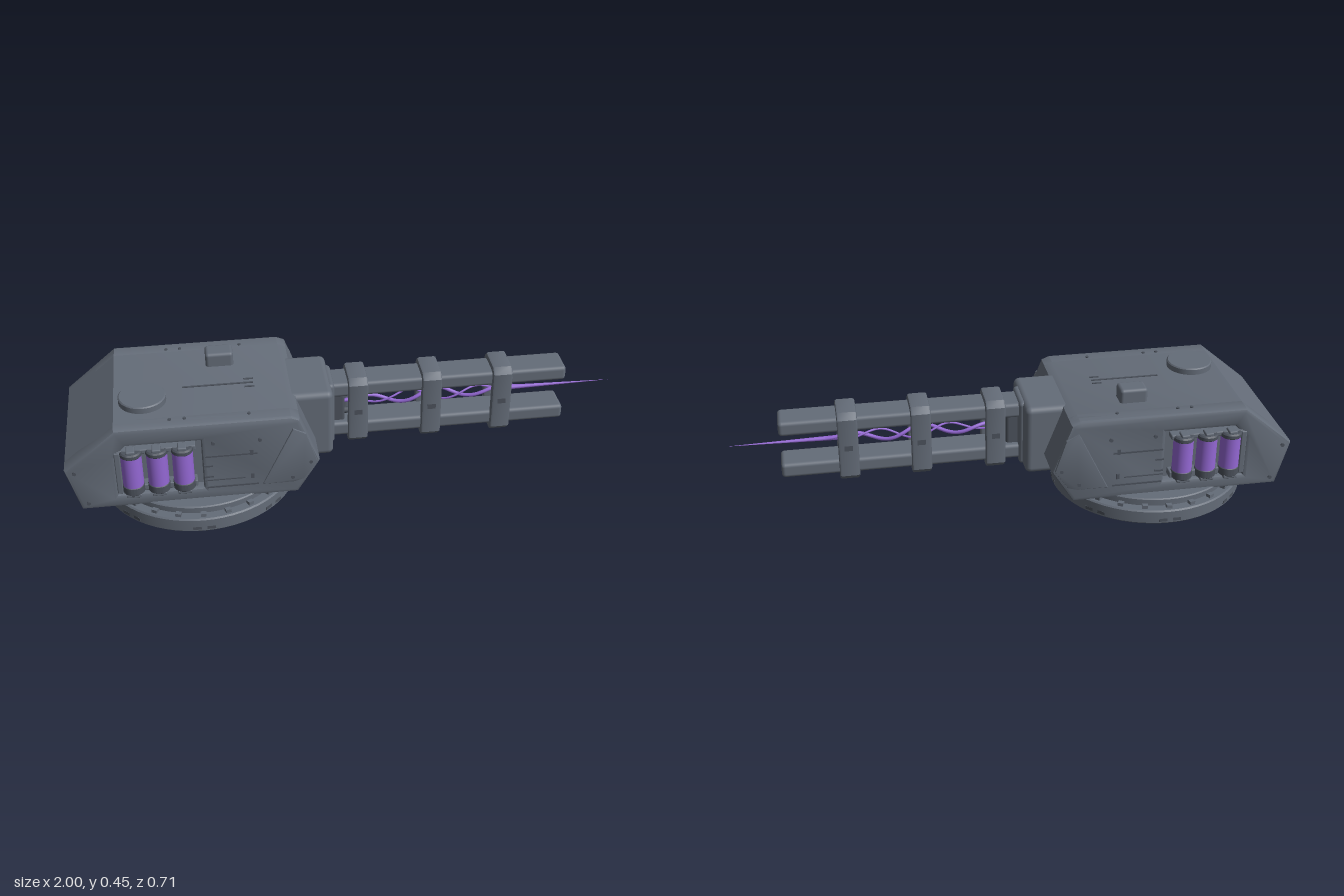
import * as THREE from 'three';
import { RoundedBoxGeometry } from 'three/addons/geometries/RoundedBoxGeometry.js';
import { toCreasedNormals } from 'three/addons/utils/BufferGeometryUtils.js';

const mat = (name, color) => {
  const m = new THREE.MeshStandardMaterial({ color });
  m.name = name;
  return m;
};

export function createModel() {
  const armour = mat('armour grey', 0x646c78);
  const dark = mat('dark grey', 0x4c525c);
  const energy = mat('energy purple', 0x9468d4);
  const root = new THREE.Group();
  root.name = 'turret';

  const add = (name, geo, m, x = 0, y = 0, z = 0, parent = root) => {
    const mesh = new THREE.Mesh(geo, m);
    mesh.name = name;
    mesh.position.set(x, y, z);
    parent.add(mesh);
    return mesh;
  };
  const group = (name) => {
    const g = new THREE.Group();
    g.name = name;
    root.add(g);
    return g;
  };
  const rbox = (w, h, d, r = 0.01) => new RoundedBoxGeometry(w, h, d, 3, r);
  const box = (w, h, d) => new THREE.BoxGeometry(w, h, d);
  const pts = (a) => a.map(([x, y]) => new THREE.Vector2(x, y));
  // Slab of an outline between two depths, bevelled inside its outline
  const slab = (outline, z0, z1, b = 0, hole = null) => {
    const s = new THREE.Shape(pts(outline));
    if (hole) s.holes.push(new THREE.Path(pts(hole)));
    const g = new THREE.ExtrudeGeometry(s, {
      depth: z1 - z0 - 2 * b, bevelEnabled: b > 0, bevelSize: b,
      bevelThickness: b, bevelOffset: -b, bevelSegments: 2, curveSegments: 6,
    });
    g.translate(0, 0, z0 + b);
    return toCreasedNormals(g, 0.5);
  };
  const lathe = (profile, n = 64) => toCreasedNormals(new THREE.LatheGeometry(pts(profile), n), 0.5);

  // Turntable
  const base = group('turntable');
  base.position.x = -0.54;
  add('baseRing', lathe([[0, 0], [0.35, 0], [0.356, 0.006], [0.356, 0.05], [0.351, 0.055], [0.318, 0.055],
    [0.318, 0.068], [0.33, 0.071], [0.33, 0.086], [0.326, 0.09], [0, 0.09]]), armour, 0, 0, 0, base);
  for (let i = 0; i < 24; i++) {
    const a = (i / 24) * Math.PI * 2;
    const bolt = add('ringBolt', box(0.02, 0.013, 0.02), armour, Math.cos(a) * 0.332, 0.061, Math.sin(a) * 0.332, base);
    bolt.rotation.y = -a;
    if (i % 3 === 0) {
      const slot = add('rimSlot', box(0.006, 0.012, 0.08), dark, Math.cos(a) * 0.3525, 0.017, Math.sin(a) * 0.3525, base);
      slot.rotation.y = -a;
    }
  }

  // Hull: a core and two bevelled side walls with open bays
  const outline = [[-1, 0.245], [-0.955, 0.08], [-0.2, 0.08], [-0.122, 0.205], [-0.19, 0.385], [-0.22, 0.397], [-0.82, 0.397]];
  const bay = [[-0.825, 0.13], [-0.825, 0.285], [-0.785, 0.33], [-0.53, 0.33], [-0.53, 0.13]];
  add('hullCore', slab(outline, -0.24, 0.24), armour);

  for (const side of [1, -1]) {
    const g = group(side > 0 ? 'frontSide' : 'backSide');
    // Back side is turned round, so x is negated for it
    const sx = (x) => x * side;
    const face = (list) => (side > 0 ? list : list.map(([x, y]) => [-x, y]).reverse());
    if (side < 0) g.rotation.y = Math.PI;

    add('sideWall', slab(face(outline), 0.2, 0.278, 0.014, face(bay)), armour, 0, 0, 0, g);
    add('cheekPlate', slab(face([[-0.325, 0.13], [-0.215, 0.13], [-0.18, 0.14], [-0.132, 0.21], [-0.17, 0.33], [-0.215, 0.355]]),
      0.27, 0.283, 0.003), armour, 0, 0, 0, g);

    // Raised seams and latches beside the bay
    for (const [x, y, w, h] of [[-0.43, 0.265, 0.18, 0.006], [-0.43, 0.135, 0.18, 0.006], [-0.455, 0.165, 0.14, 0.004],
      [-0.51, 0.18, 0.03, 0.006], [-0.51, 0.225, 0.03, 0.006], [-0.36, 0.27, 0.012, 0.02], [-0.36, 0.17, 0.012, 0.02]])
      add('sideSeam', box(w, h, 0.008), dark, sx(x), y, 0.278, g);
    for (const [x, y] of [[-0.965, 0.24], [-0.93, 0.11], [-0.155, 0.21], [-0.22, 0.15], [-0.33, 0.32], [-0.49, 0.32]]) {
      const rivet = add('rivet', new THREE.CylinderGeometry(0.007, 0.007, 0.008, 10), dark, sx(x), y, 0.28, g);
      rivet.rotation.x = Math.PI / 2;
    }

    // Rack of energy cells
    for (const x of [-0.77, -0.683, -0.596]) {
      add('energyCell', new THREE.CylinderGeometry(0.036, 0.036, 0.12, 24), energy, sx(x), 0.235, 0.272, g);
      for (const [y, h] of [[0.303, 0.022], [0.16, 0.036]])
        add('cellCap', lathe([[0, -h / 2], [0.033, -h / 2], [0.038, -h / 2 + 0.005], [0.038, h / 2 - 0.005], [0.033, h / 2], [0, h / 2]], 24),
          dark, sx(x), y, 0.272, g);
      add('cellClamp', rbox(0.03, 0.014, 0.04, 0.004), armour, sx(x), 0.316, 0.28, g);
      add('cellFoot', rbox(0.05, 0.014, 0.05, 0.004), armour, sx(x), 0.141, 0.28, g);
    }
    add('rackRail', rbox(0.27, 0.018, 0.04, 0.004), armour, sx(-0.685), 0.306, 0.258, g);
    add('rackRail', rbox(0.27, 0.025, 0.04, 0.004), armour, sx(-0.685), 0.155, 0.258, g);
    add('rackEnd', rbox(0.02, 0.17, 0.04, 0.004), armour, sx(-0.817), 0.225, 0.262, g);
  }

  // Roof fittings
  add('hatch', lathe([[0, 0], [0.083, 0], [0.083, 0.027], [0.079, 0.031], [0, 0.031]], 40), armour, -0.72, 0.39, 0.098);
  add('sightBox', rbox(0.1, 0.08, 0.072, 0.012), armour, -0.44, 0.408, -0.125);
  add('roofSeam', box(0.25, 0.006, 0.007), dark, -0.455, 0.397, 0.035);
  for (const z of [-0.23, 0.23])
    for (const x of [-0.63, -0.58, -0.36])
      add('roofRivet', new THREE.CylinderGeometry(0.006, 0.006, 0.006, 10), dark, x, 0.398, z);
  for (const z of [0.01, 0.06])
    add('roofLatch', box(0.035, 0.006, 0.007), dark, -0.345, 0.397, z);

  // Gun mantlet and breech
  add('mantlet', rbox(0.2, 0.265, 0.27, 0.022), armour, -0.155, 0.257, 0);
  add('barrelSocket', rbox(0.03, 0.25, 0.15, 0.014), armour, -0.058, 0.258, 0);
  add('breech', rbox(0.06, 0.14, 0.07, 0.012), dark, -0.03, 0.262, 0);

  // Barrel rails, clamped by three open collars
  for (const y of [0.345, 0.178])
    add('barrelRail', rbox(0.88, 0.056, 0.115, 0.014), armour, 0.373, y, 0);
  const rect = (w, h, c) => [[-w + c, -h], [w - c, -h], [w, -h + c], [w, h - c], [w - c, h], [-w + c, h], [-w, h - c], [-w, -h + c]];
  const collarGeo = slab(rect(0.075, 0.134, 0.022), -0.036, 0.036, 0.008, rect(0.044, 0.108, 0.008).reverse());
  for (const x of [0.043, 0.312, 0.572]) {
    const collar = add('collar', collarGeo, armour, x, 0.26, 0);
    collar.rotation.y = Math.PI / 2;
    for (const s of [-1, 1]) add('collarNotch', box(0.03, 0.02, 0.008), dark, x, 0.26, s * 0.072);
  }
  for (const y of [0.225, 0.3])
    add('feedPipe', new THREE.CylinderGeometry(0.012, 0.012, 0.06, 12).rotateZ(Math.PI / 2), dark, -0.01, y, 0);

  // Energy bolt: two twisting strands and a tapering tip
  for (const s of [0, 1]) {
    const path = [];
    for (let i = 0; i <= 24; i++) {
      const t = i / 24;
      const swell = 0.02 * Math.sin(Math.PI * t) + 0.003;
      const a = t * Math.PI * 5 + s * 2.4;
      path.push(new THREE.Vector3(-0.01 + 0.66 * t, 0.268 + swell * Math.sin(a), swell * Math.cos(a)));
    }
    add('energyStrand', new THREE.TubeGeometry(new THREE.CatmullRomCurve3(path), 72, s ? 0.004 : 0.007, 8), energy);
  }
  const tip = add('energyTip', new THREE.ConeGeometry(0.01, 0.42, 10), energy, 0.79, 0.268, 0);
  tip.rotation.z = -Math.PI / 2;

  return root;
}
